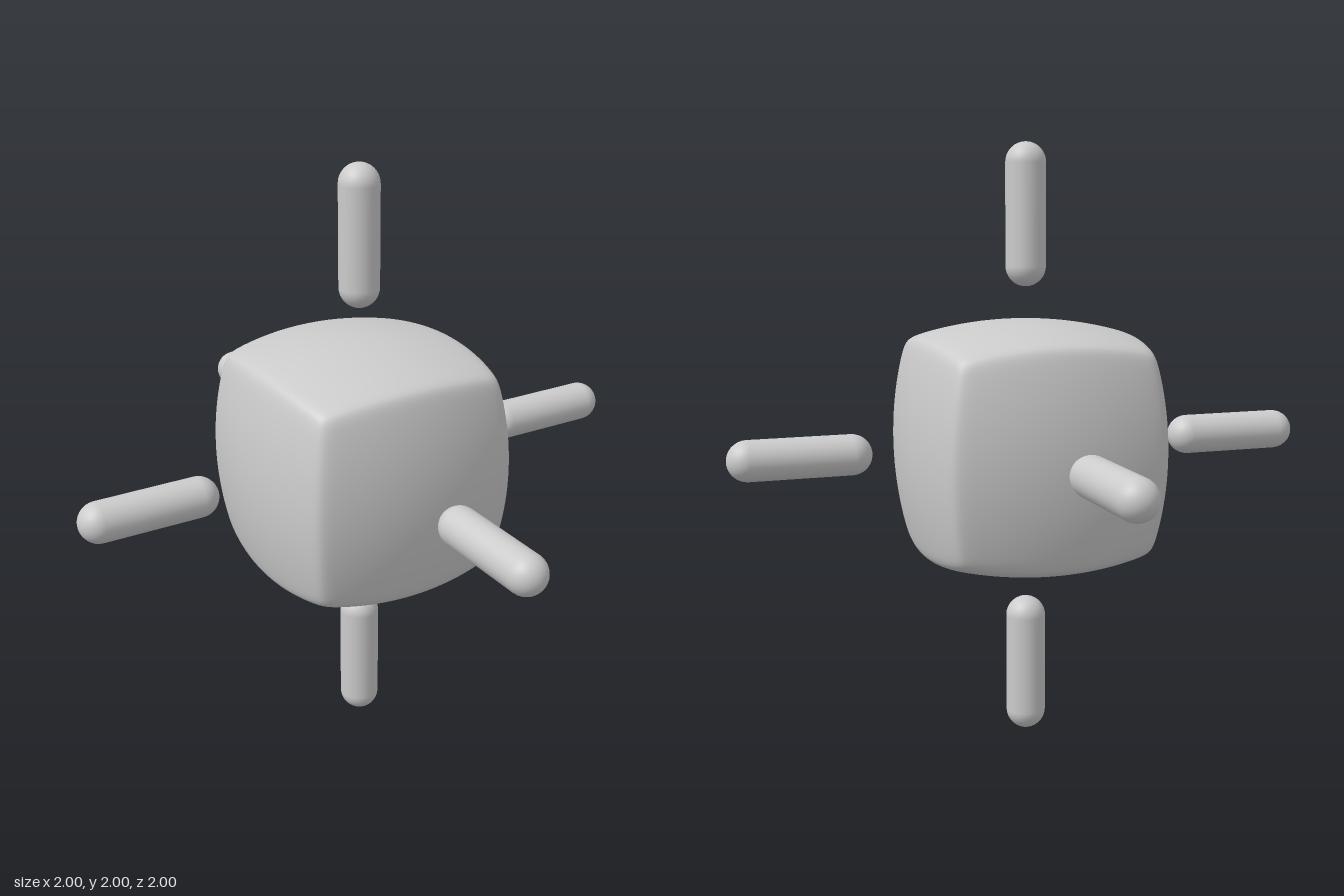
import * as THREE from 'three';
import { mergeVertices } from 'three/addons/utils/BufferGeometryUtils.js';

const HALF = 0.42;        // centre to middle of each bulging face
const FACE_RADIUS = 1.23; // radius of the sphere each face belongs to
const SHARPNESS = 40;     // higher gives tighter edges

// Cube with spherical faces and softly rounded edges
function bulgedCube() {
  const box = new THREE.BoxGeometry(2, 2, 2, 40, 40, 40);
  box.deleteAttribute('uv');
  box.deleteAttribute('normal');
  const geometry = mergeVertices(box);
  const pos = geometry.attributes.position;
  const d = new THREE.Vector3();
  const c = HALF - FACE_RADIUS;
  const reach = (a) => a * c + Math.sqrt(FACE_RADIUS ** 2 - c * c * (1 - a * a));
  for (let i = 0; i < pos.count; i++) {
    d.fromBufferAttribute(pos, i);
    // crowd the grid towards the edges, then project outwards
    d.set(...d.toArray().map((v) => Math.sin(v * Math.PI / 2))).normalize();
    const sum = d.toArray().reduce((s, a) => s + reach(Math.abs(a)) ** -SHARPNESS, 0);
    d.multiplyScalar(sum ** (-1 / SHARPNESS));
    pos.setXYZ(i, d.x, d.y, d.z);
  }
  geometry.computeVertexNormals();
  return geometry;
}

export function createModel() {
  const model = new THREE.Group();
  model.name = 'cubeWithRods';
  const material = new THREE.MeshStandardMaterial({ color: 0xcccccc });

  const body = new THREE.Mesh(bulgedCube(), material);
  body.name = 'body';
  body.position.y = 1;
  model.add(body);

  // Six floating round-ended rods, one facing each side
  const radius = 0.067, inner = 0.53, outer = 1;
  const rodGeometry = new THREE.CapsuleGeometry(radius, outer - inner - 2 * radius, 8, 32);
  const directions = {
    leftRod: [1, 0, 0], rightRod: [-1, 0, 0],
    topRod: [0, 1, 0], bottomRod: [0, -1, 0],
    frontRod: [0, 0, 1], backRod: [0, 0, -1],
  };
  const up = new THREE.Vector3(0, 1, 0);
  for (const [name, dir] of Object.entries(directions)) {
    const axis = new THREE.Vector3(...dir);
    const rod = new THREE.Mesh(rodGeometry, material);
    rod.name = name;
    rod.quaternion.setFromUnitVectors(up, axis);
    rod.position.copy(axis).multiplyScalar((inner + outer) / 2);
    rod.position.y += 1;
    model.add(rod);
  }
  return model;
}
